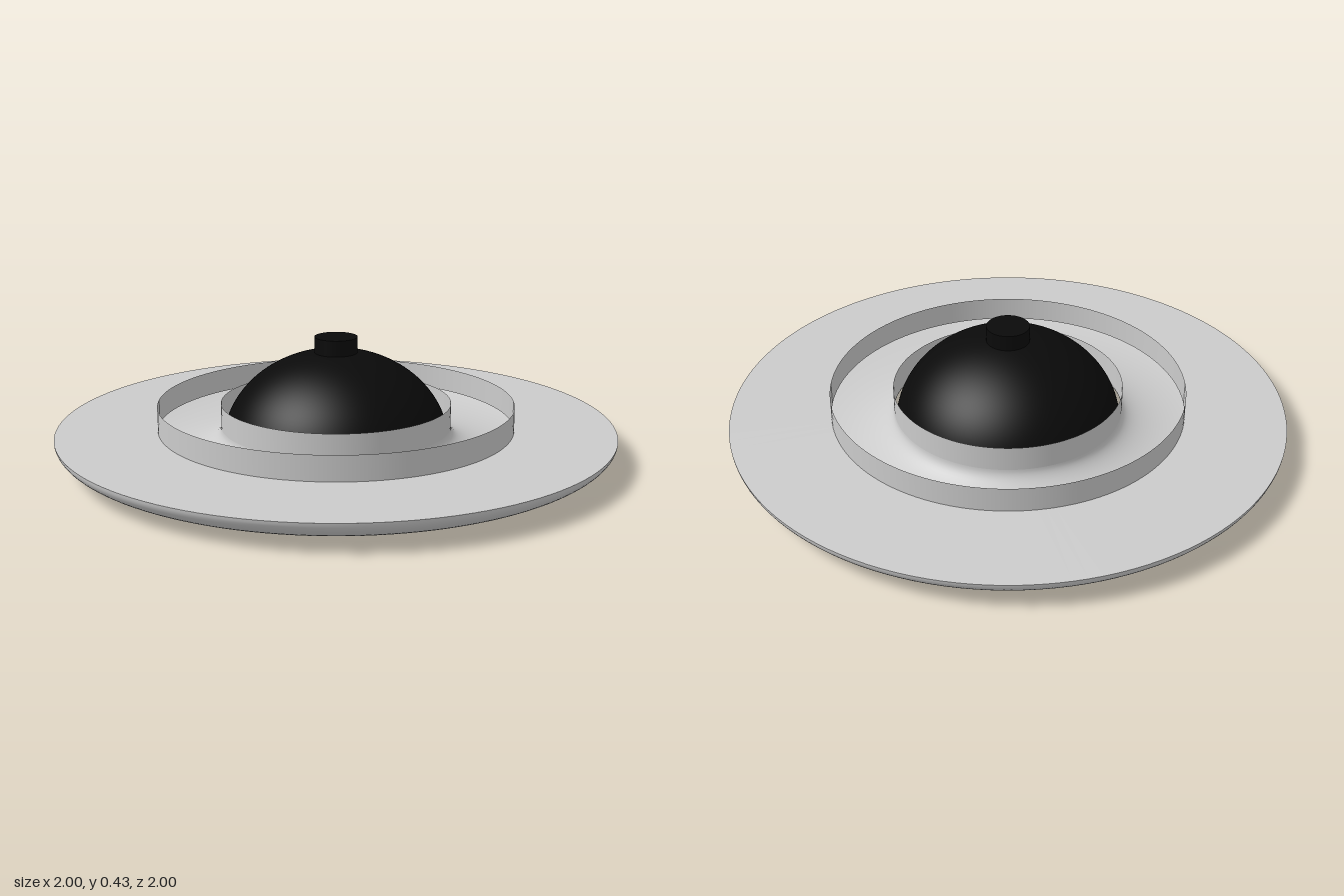
import * as THREE from 'three';

const SEGMENTS = 128;
const RIM_Y = 0.103, HOLE_R = 0.413, WALL_R = 0.639, WALL_TOP = 0.192;

const grey = new THREE.MeshStandardMaterial({ color: 0xcccccc, side: THREE.DoubleSide });
const black = new THREE.MeshStandardMaterial({ color: 0x0a0a0a, side: THREE.DoubleSide });

// Revolves a list of [radius, height] points about the y axis
function turned(name, profile, material) {
  const points = profile.map(([r, y]) => new THREE.Vector2(r, y));
  const mesh = new THREE.Mesh(new THREE.LatheGeometry(points, SEGMENTS), material);
  mesh.name = name;
  return mesh;
}

// Samples an elliptical arc as profile points
function arc(centreR, centreY, a, b, from, to, steps) {
  return Array.from({ length: steps + 1 }, (_, i) => {
    const t = from + (to - from) * i / steps;
    return [Math.max(0, centreR + a * Math.cos(t)), centreY + b * Math.sin(t)];
  });
}

export function createModel() {
  const group = new THREE.Group();
  group.name = 'saucer';

  // Ring-shaped trough: lower half of an ellipse from the hole to the rim
  const midR = (1 + HOLE_R) / 2;
  group.add(turned('trough',
    arc(midR, RIM_Y, 1 - midR, RIM_Y, -Math.PI, 0, 40), grey));

  // Flat deck between the rim and the outer wall
  group.add(turned('deck', [[1, RIM_Y], [WALL_R, RIM_Y]], grey));

  // Thin upright walls
  group.add(turned('outerWall', [[WALL_R, RIM_Y], [WALL_R, WALL_TOP]], grey));
  group.add(turned('innerWall', [[HOLE_R, RIM_Y], [HOLE_R, WALL_TOP]], grey));

  // Dome sitting in the hole, with a flat underside
  const dome = arc(0, 0.03, 0.409, 0.347, 0.087, Math.PI / 2, 32);
  group.add(turned('dome', dome, black));
  const [baseR, baseY] = dome[0];
  group.add(turned('domeBase', [[0, baseY], [baseR, baseY]], black));

  // Short round knob on top
  const knob = new THREE.Mesh(new THREE.CylinderGeometry(0.077, 0.077, 0.07, 48), black);
  knob.name = 'knob';
  knob.position.y = 0.393;
  group.add(knob);

  return group;
}
